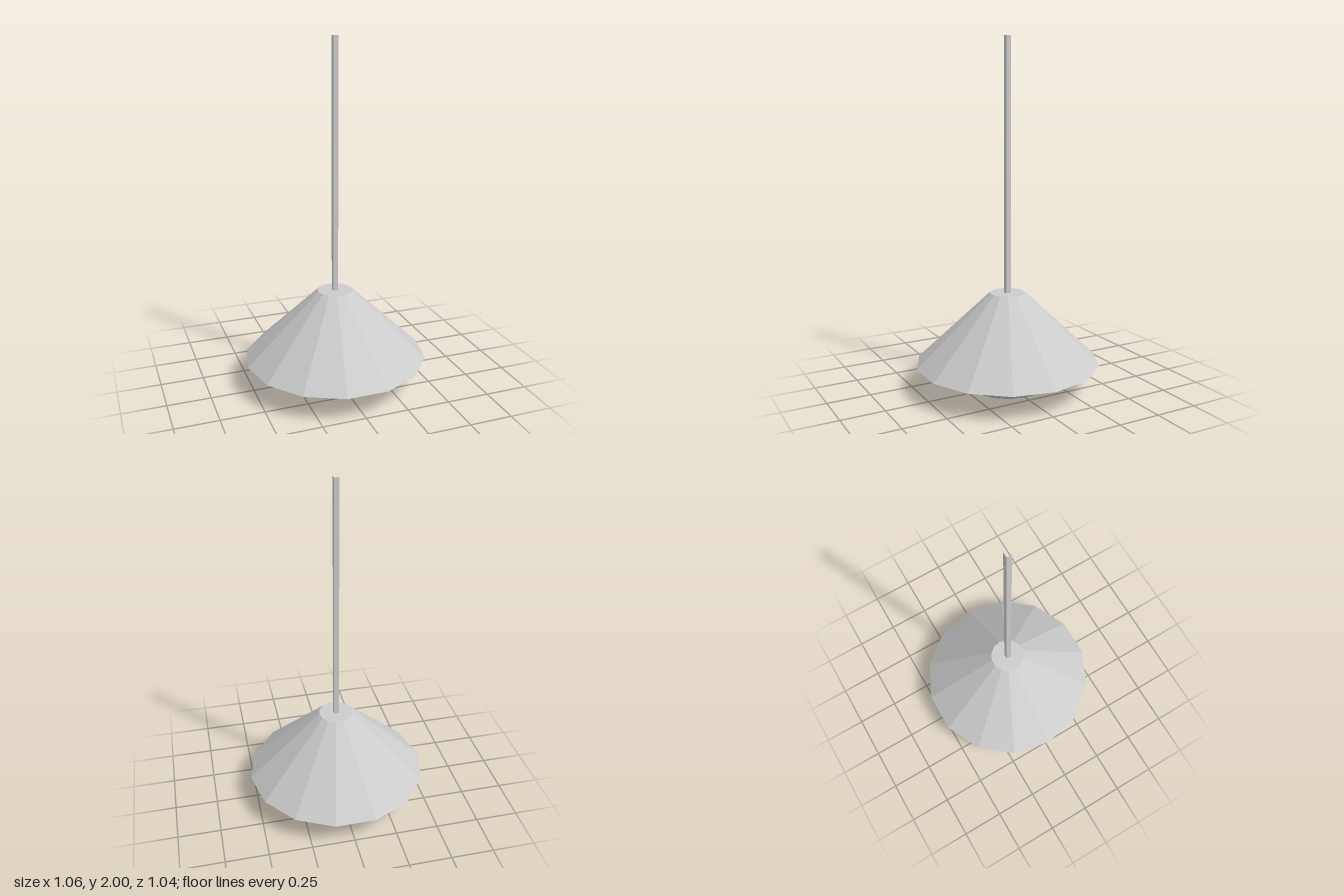
import * as THREE from 'three';

const SIDES = 14;

export function createModel() {
  const model = new THREE.Group();
  model.name = 'pendantLamp';
  const greyMetal = new THREE.MeshStandardMaterial({ color: 0xcccccc });
  greyMetal.name = 'greyMetal';

  // Adds a part with crisp facets
  function addPart(name, geometry, y = 0) {
    const faceted = geometry.toNonIndexed();
    faceted.computeVertexNormals();
    const mesh = new THREE.Mesh(faceted, greyMetal);
    mesh.name = name;
    mesh.position.y = y;
    model.add(mesh);
  }

  // Faceted solid of revolution with a corner on the x axis
  function facetedLathe(profile) {
    const points = profile.map(([r, y]) => new THREE.Vector2(r, y));
    return new THREE.LatheGeometry(points, SIDES, Math.PI / 2);
  }

  // Conical shade: inner wall, narrow rim, outer wall, flat cap
  addPart('shade', facetedLathe([
    [0.08, 0.55], [0.515, 0.15], [0.532, 0.15], [0.102, 0.56], [0, 0.56],
  ]));

  // Shallow bowl closing the underside of the shade
  addPart('diffuser', facetedLathe([[0, 0], [0.205, 0], [0.503, 0.15], [0.503, 0.16]]));

  // Square hanging rod, open at the ends
  const rodHeight = 1.44;
  addPart('rod',
    new THREE.CylinderGeometry(0.0205, 0.0205, rodHeight, 4, 1, true, Math.PI / 4),
    2 - rodHeight / 2);

  return model;
}
